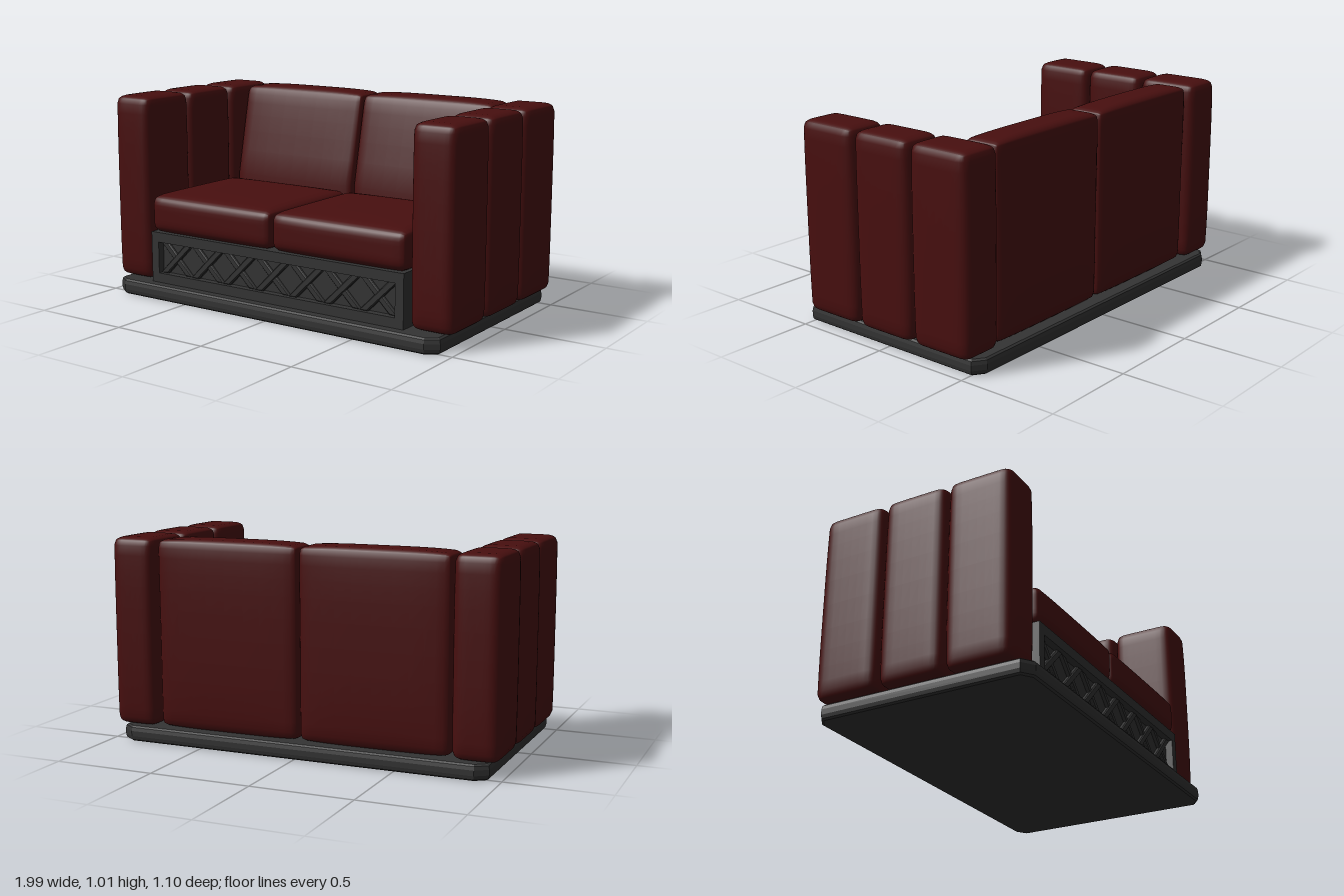
import * as THREE from 'three';
import { mergeVertices } from 'three/addons/utils/BufferGeometryUtils.js';

const leather = new THREE.MeshStandardMaterial({ color: 0x480f0f });
leather.name = 'dark red leather';
const charcoal = new THREE.MeshStandardMaterial({ color: 0x343434 });
charcoal.name = 'charcoal';

function add(group, name, geometry, material, x = 0, y = 0, z = 0) {
  const mesh = new THREE.Mesh(geometry, material);
  mesh.name = name;
  mesh.position.set(x, y, z);
  group.add(mesh);
  return mesh;
}

// Padded block: rounded edges (one radius per axis), swollen faces, optional reshaping
function cushion(size, radius, swell, reshape) {
  let geo = new THREE.BoxGeometry(2, 2, 2, 14, 14, 14);
  geo.deleteAttribute('normal');
  geo.deleteAttribute('uv');
  geo = mergeVertices(geo);
  const pos = geo.attributes.position;
  const p = [0, 0, 0];
  for (let i = 0; i < pos.count; i++) {
    const u = [pos.getX(i), pos.getY(i), pos.getZ(i)];
    // crowd the grid towards the edges, then round them
    const q = u.map((v, k) => {
      const half = size[k] / 2;
      p[k] = Math.sign(v) * (1 - (1 - Math.abs(v)) ** 2) * half;
      const core = THREE.MathUtils.clamp(p[k], radius[k] - half, half - radius[k]);
      const offset = (p[k] - core) / radius[k];
      p[k] = core;
      return offset;
    });
    const len = Math.hypot(...q) || 1;
    const n = p.map((c, k) => (c + q[k] / len * radius[k]) / (size[k] / 2));
    const out = n.map((v, k) => {
      const a = n[(k + 1) % 3], b = n[(k + 2) % 3];
      return v * (size[k] / 2 + swell[k] * (1 - a ** 4) * (1 - b ** 4));
    });
    if (reshape) reshape(out, n);
    pos.setXYZ(i, ...out);
  }
  geo.computeVertexNormals();
  return geo;
}

function rectangle(Type, x0, y0, x1, y1) {
  const s = new Type();
  s.moveTo(x0, y0).lineTo(x1, y0).lineTo(x1, y1).lineTo(x0, y1).closePath();
  return s;
}

export function createModel() {
  const sofa = new THREE.Group();
  sofa.name = 'sofa';

  // Plinth with clipped corners and a bevelled rim
  const X = 0.93, Z = 0.535, cx = 0.05, cz = 0.035;
  const outline = new THREE.Shape([
    [X, Z - cz], [X - cx, Z], [cx - X, Z], [-X, Z - cz],
    [-X, cz - Z], [cx - X, -Z], [X - cx, -Z], [X, cz - Z],
  ].map(([x, y]) => new THREE.Vector2(x, y)));
  const plinth = new THREE.ExtrudeGeometry(outline, {
    depth: 0.026, bevelThickness: 0.025, bevelSize: 0.014, bevelSegments: 2,
  });
  plinth.rotateX(-Math.PI / 2);
  add(sofa, 'plinth', plinth, charcoal, 0, 0.025, 0);

  // Seat box with a framed recess on the front
  add(sofa, 'seatBox', new THREE.BoxGeometry(1.49, 0.26, 0.8), charcoal, 0, 0.205, 0.055);
  const frame = rectangle(THREE.Shape, -0.745, 0.076, 0.745, 0.335);
  frame.holes.push(rectangle(THREE.Path, -0.7, 0.125, 0.7, 0.285));
  add(sofa, 'frontFrame',
    new THREE.ExtrudeGeometry(frame, { depth: 0.037, bevelEnabled: false }),
    charcoal, 0, 0, 0.455);

  // Crossed slats inside the recess
  const lattice = new THREE.Group();
  lattice.name = 'lattice';
  sofa.add(lattice);
  for (const side of [-1, 1]) {
    const slat = new THREE.Shape();
    const bottom = -0.08 * side, top = 0.08 * side, w = 0.023;
    slat.moveTo(bottom - w, -0.08).lineTo(bottom + w, -0.08)
      .lineTo(top + w, 0.08).lineTo(top - w, 0.08).closePath();
    const geo = new THREE.ExtrudeGeometry(slat, {
      depth: side > 0 ? 0.014 : 0.009,
      bevelThickness: 0.006, bevelSize: 0.006, bevelOffset: -0.006, bevelSegments: 1,
    });
    for (let i = -3; i <= 3; i++) {
      add(lattice, 'slat', geo, charcoal, i * 0.2, 0.205, 0.456);
    }
  }

  // Arms: three upright pads per side
  const armPad = cushion([0.228, 0.93, 0.325], [0.05, 0.035, 0.05], [0.005, 0.003, 0.01]);
  // Seat cushions, softly crowned
  const seatPad = cushion([0.74, 0.185, 0.67], [0.03, 0.045, 0.045], [0.004, 0.012, 0.008]);
  // Back cushions: front face slopes forward from the top down to the seat
  const backPad = cushion([0.745, 0.92, 0.29], [0.03, 0.03, 0.05], [0.004, 0.012, 0.012],
    (out, n) => {
      const slope = THREE.MathUtils.clamp(n[1], 0, 1);
      out[2] -= 0.1 * slope * (n[2] + 1) / 2;
    });

  for (const side of [-1, 1]) {
    for (const z of [0.319, -0.02, -0.36]) {
      add(sofa, side > 0 ? 'leftArmPad' : 'rightArmPad', armPad, leather, side * 0.876, 0.543, z);
    }
    add(sofa, 'seatCushion', seatPad, leather, side * 0.376, 0.427, 0.153);
    add(sofa, 'backCushion', backPad, leather, side * 0.376, 0.54, -0.352);
  }
  return sofa;
}
